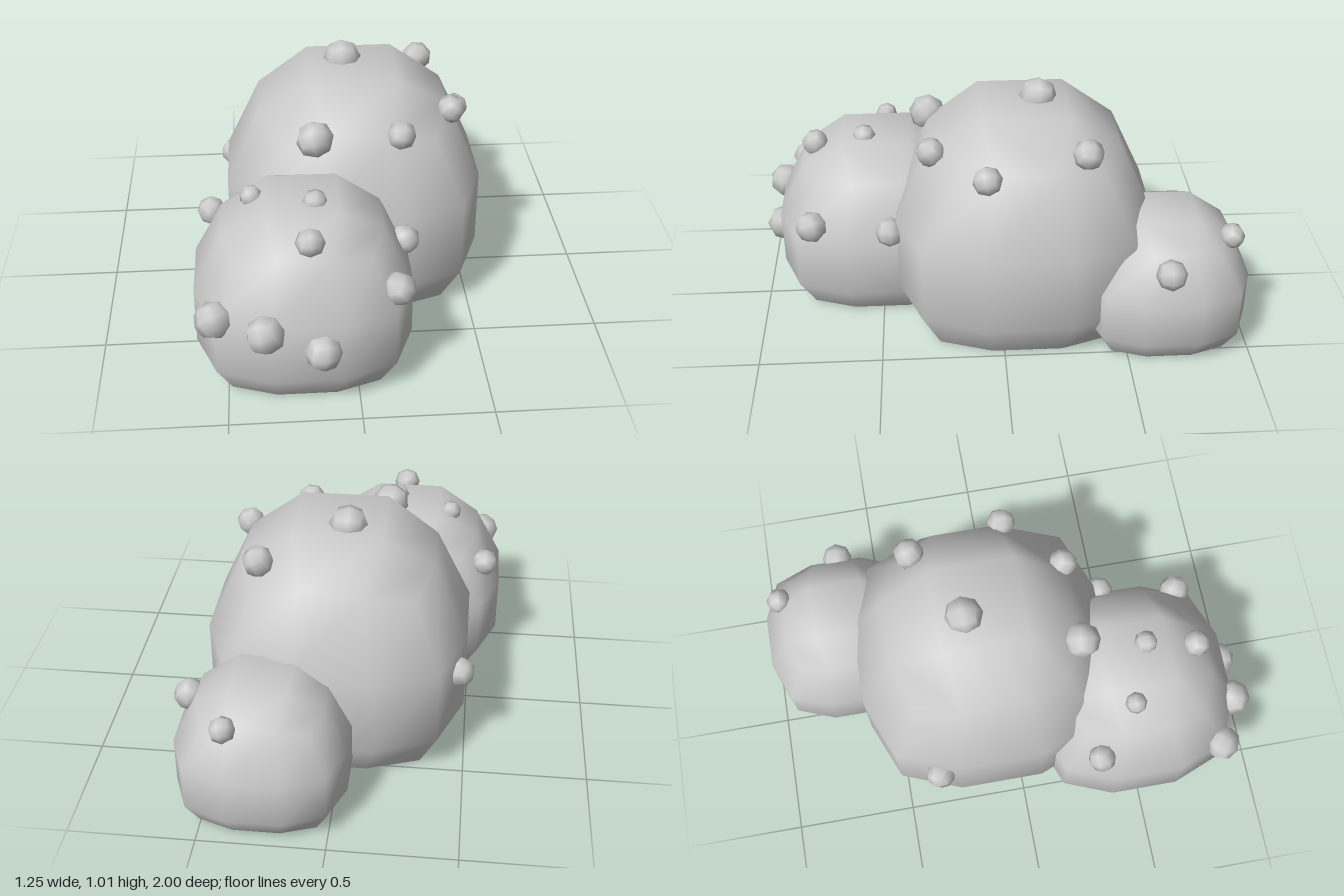
import * as THREE from 'three';
import { mergeVertices } from 'three/addons/utils/BufferGeometryUtils.js';

const material = new THREE.MeshStandardMaterial({ color: 0xcccccc, side: THREE.DoubleSide });

// Subdivided cube whose vertices are moved by a rule, welded and smoothed.
function roundedCube(segments, rule, openBottom) {
  const box = new THREE.BoxGeometry(2, 2, 2, segments, segments, segments);
  const bottom = box.groups[3];
  let index = Array.from(box.index.array);
  if (openBottom) index.splice(bottom.start, bottom.count);
  box.setIndex(index);
  box.deleteAttribute('normal');
  box.deleteAttribute('uv');
  const geometry = mergeVertices(box);
  const position = geometry.attributes.position;
  const v = new THREE.Vector3();
  for (let i = 0; i < position.count; i++) {
    rule(v.fromBufferAttribute(position, i));
    position.setXYZ(i, v.x, v.y, v.z);
  }
  geometry.clearGroups();
  geometry.computeVertexNormals();
  return geometry;
}

// Leaf clump: unit radius, unit height, flat open base.
function clumpRule(v) {
  const outer = (Math.abs(v.x) > 0.9 ? 1 : 0) + (Math.abs(v.z) > 0.9 ? 1 : 0);
  let scale = 1, height;
  if (v.y > 0.9) {
    scale = [1, 0.73, 0.6][outer];
    height = [1, 0.86, 0.79][outer];
  } else if (v.y < -0.9) {
    scale = [1, 0.82, 0.68][outer];
    height = 0;
  } else {
    scale = outer === 2 ? 0.81 : 1;
    height = v.y > 0 ? 0.525 : 0.18;
  }
  v.set(v.x * scale, height, v.z * scale);
}

// Each clump: centre x, z, base y, radius, height; berries are [x, y, z, radius].
const clumps = [
  {
    name: 'middleClump', x: 0.035, z: -0.095, base: 0, radius: 0.525, height: 0.935,
    berries: [
      [0, 0.932, -0.16, 0.079], [-0.135, 0.8, 0.29, 0.076], [0.205, 0.8, 0.28, 0.06],
      [0.43, 0.795, 0.065, 0.06], [0.335, 0.845, -0.33, 0.064], [-0.47, 0.39, -0.35, 0.06],
    ],
  },
  {
    name: 'frontClump', x: -0.2, z: 0.51, base: 0.008, radius: 0.42, height: 0.682,
    berries: [
      [-0.55, 0.505, 0.31, 0.058], [-0.39, 0.665, 0.47, 0.045], [-0.15, 0.685, 0.56, 0.05],
      [-0.178, 0.645, 0.77, 0.057], [0.15, 0.43, 0.78, 0.066], [0.205, 0.43, 0.455, 0.062],
      [-0.54, 0.37, 0.84, 0.074], [-0.35, 0.36, 0.93, 0.075], [-0.14, 0.27, 0.93, 0.073],
    ],
  },
  {
    name: 'backClump', x: 0.275, z: -0.665, base: 0.01, radius: 0.335, height: 0.545,
    berries: [[0.385, 0.48, -0.915, 0.053], [0.565, 0.425, -0.645, 0.063]],
  },
];

export function createModel() {
  const bush = new THREE.Group();
  bush.name = 'bush';
  const clumpGeometry = roundedCube(3, clumpRule, true);
  const berryGeometry = roundedCube(2, (v) => v.normalize(), false);

  for (const { name, x, z, base, radius, height, berries } of clumps) {
    // Leaf clump; scale is baked in so normals stay smooth
    const dome = new THREE.Mesh(clumpGeometry.clone().scale(radius, height, radius), material);
    dome.geometry.computeVertexNormals();
    dome.name = name;
    dome.position.set(x, base, z);
    bush.add(dome);

    // Berries, turned to face away from the clump's centre
    for (const [bx, by, bz, size] of berries) {
      const berry = new THREE.Mesh(berryGeometry, material);
      berry.name = 'berry';
      berry.position.set(bx, by, bz);
      berry.scale.setScalar(size);
      const outward = new THREE.Vector3(bx - x, by - base - height * 0.35, bz - z).normalize();
      berry.quaternion.setFromUnitVectors(new THREE.Vector3(0, 1, 0), outward);
      bush.add(berry);
    }
  }
  return bush;
}
